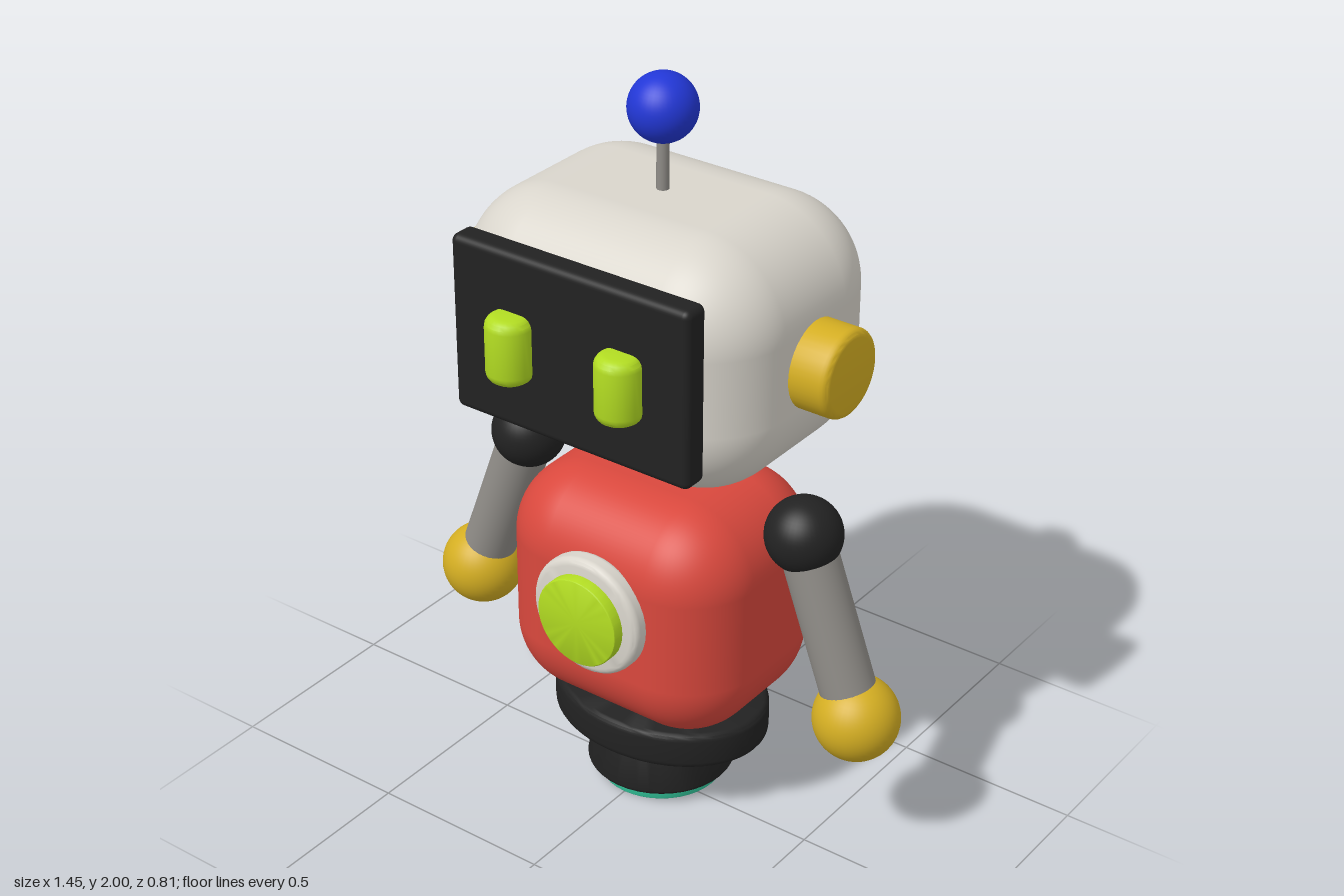
import * as THREE from 'three';
import { RoundedBoxGeometry } from 'three/addons/geometries/RoundedBoxGeometry.js';
import { toCreasedNormals } from 'three/addons/utils/BufferGeometryUtils.js';

const material = (name, color) => {
  const m = new THREE.MeshStandardMaterial({ color });
  m.name = name;
  return m;
};

const AXIS_Z = -0.05; // depth of the robot's main vertical axis

export function createModel() {
  const shell = material('warm white', 0xd9d5cc);
  const red = material('red', 0xd9483d);
  const black = material('black', 0x222222);
  const yellow = material('yellow', 0xd4ae22);
  const lime = material('lime', 0xb2dc22);
  const blue = material('blue', 0x2237d6);
  const teal = material('teal', 0x33c79c);
  const grey = material('grey', 0x8f8c87);

  const robot = new THREE.Group();
  robot.name = 'robot';

  const add = (name, geometry, mat, x, y, z) => {
    const mesh = new THREE.Mesh(geometry, mat);
    mesh.name = name;
    mesh.position.set(x, y, z);
    robot.add(mesh);
    return mesh;
  };
  const ball = (r) => new THREE.SphereGeometry(r, 40, 28);

  // Disc or cone along y, centred on its middle, with rounded rims
  const disc = (bottomR, topR, height, bevel, segments = 40) => {
    const h = height / 2;
    const profile = [new THREE.Vector2(0, -h)];
    for (const [r, cy, start] of [[bottomR, -h + bevel, -Math.PI / 2], [topR, h - bevel, 0]]) {
      for (let i = 0; i <= 4; i++) {
        const a = start + (i / 4) * Math.PI / 2;
        profile.push(new THREE.Vector2(r - bevel + bevel * Math.cos(a), cy + bevel * Math.sin(a)));
      }
    }
    profile.push(new THREE.Vector2(0, h));
    return toCreasedNormals(new THREE.LatheGeometry(profile, segments), 0.6);
  };

  // Head with face screen
  add('head', new RoundedBoxGeometry(0.9, 0.66, 0.71, 10, 0.23), shell, 0, 1.375, AXIS_Z);
  add('faceScreen', new RoundedBoxGeometry(0.705, 0.47, 0.075, 4, 0.02), black, 0, 1.395, 0.292);

  // Antenna
  add('antennaStalk', new THREE.CylinderGeometry(0.016, 0.016, 0.2, 20), grey, 0, 1.76, AXIS_Z);
  add('antennaBall', ball(0.087), blue, 0, 1.915, AXIS_Z);

  // Torso with chest light
  add('torso', new RoundedBoxGeometry(0.705, 0.66, 0.58, 10, 0.2), red, 0, 0.605, AXIS_Z);
  add('chestRing', disc(0.165, 0.165, 0.06, 0.02), shell, 0, 0.645, 0.25).rotation.x = Math.PI / 2;
  add('chestLight', disc(0.122, 0.122, 0.09, 0.004), lime, 0, 0.645, 0.267).rotation.x = Math.PI / 2;

  // Mirrored parts
  for (const [side, s] of [['left', 1], ['right', -1]]) {
    add(side + 'Eye', disc(0.06, 0.06, 0.175, 0.028, 24), lime, s * 0.164, 1.388, 0.342);
    add(side + 'Ear', disc(0.114, 0.114, 0.16, 0.02), yellow, s * 0.475, 1.375, AXIS_Z).rotation.z = -s * Math.PI / 2;

    const shoulder = new THREE.Vector3(s * 0.435, 0.89, AXIS_Z);
    const hand = new THREE.Vector3(s * 0.61, 0.412, AXIS_Z);
    add(side + 'Shoulder', ball(0.1), black, ...shoulder);
    add(side + 'Hand', ball(0.113), yellow, ...hand);
    const mid = shoulder.clone().lerp(hand, 0.5);
    const arm = add(side + 'Arm', new THREE.CylinderGeometry(0.073, 0.073, 0.42, 32), grey, ...mid);
    arm.quaternion.setFromUnitVectors(new THREE.Vector3(0, 1, 0), shoulder.clone().sub(hand).normalize());
  }

  // Hover base: oval waist plate, flared nozzle, glowing thruster
  add('waistPlate', disc(0.308, 0.308, 0.105, 0.02, 56), black, 0, 0.222, AXIS_Z).scale.z = 0.765;
  add('nozzle', disc(0.198, 0.155, 0.145, 0.012), black, 0, 0.107, AXIS_Z);
  add('thruster', disc(0.168, 0.168, 0.06, 0.004), teal, 0, 0.03, AXIS_Z);

  return robot;
}
